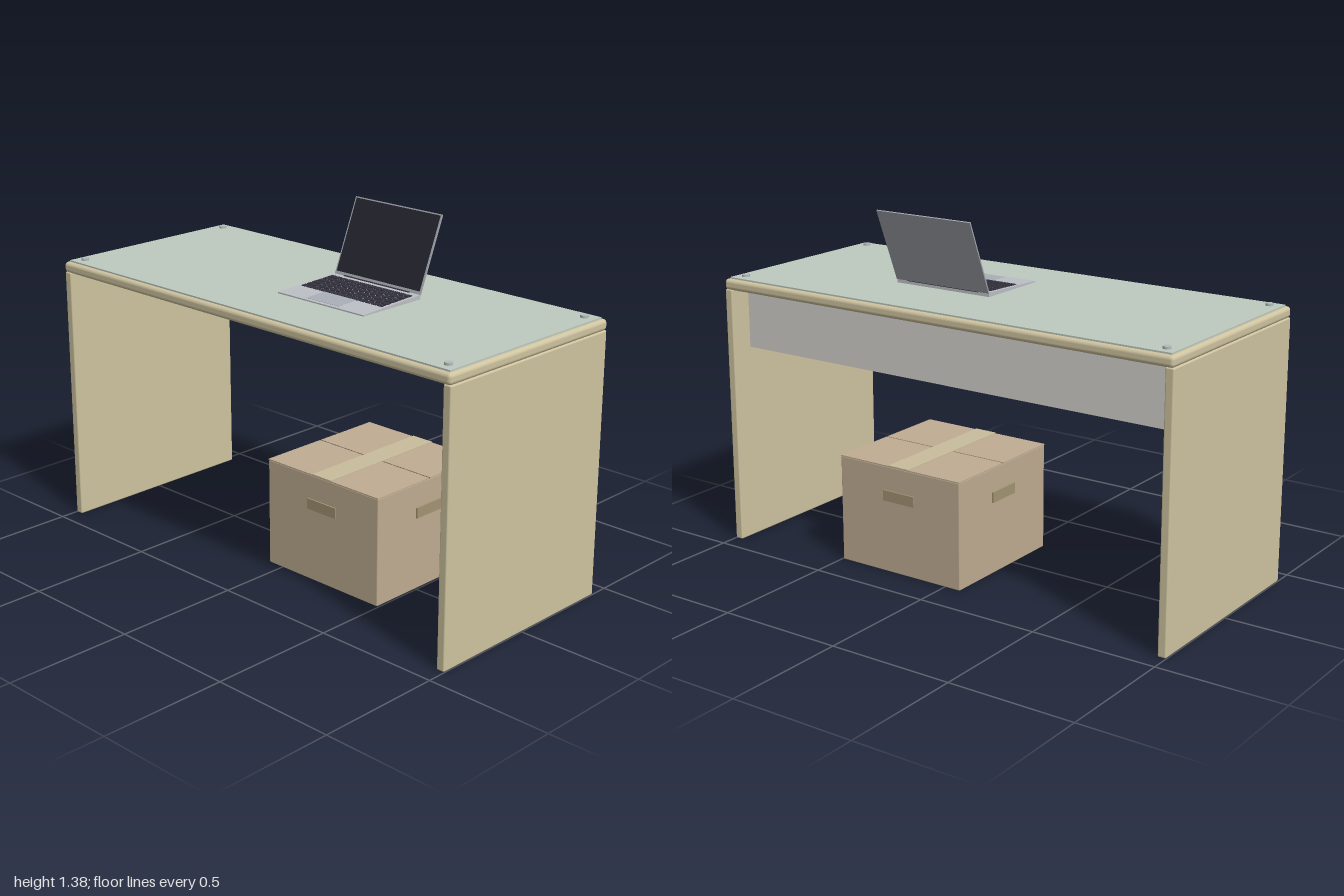
import * as THREE from 'three';
import { RoundedBoxGeometry } from 'three/addons/geometries/RoundedBoxGeometry.js';

const mat = (color) => new THREE.MeshStandardMaterial({ color });
const wood = mat(0xcfc4a0), glass = mat(0xbecbc0), panelGrey = mat(0xd6d2cc), steel = mat(0xb4bcbc);
const card = mat(0xc0ad92), tapeMat = mat(0xc9bd9c), handleMat = mat(0xa39473), slitMat = mat(0x5c4e3c);
const silver = mat(0xbcc0c5), lidGrey = mat(0xa2a6ab), keyMat = mat(0x34323e), screenMat = mat(0x252530), padMat = mat(0xaab0b6);

function add(parent, name, geometry, material, x, y, z) {
  const mesh = new THREE.Mesh(geometry, material);
  mesh.name = name;
  mesh.position.set(x, y, z);
  parent.add(mesh);
  return mesh;
}
const box = (w, h, d) => new THREE.BoxGeometry(w, h, d);
const rounded = (w, h, d, r, n = 3) => new RoundedBoxGeometry(w, h, d, n, r);

function group(parent, name, x = 0, y = 0, z = 0) {
  const g = new THREE.Group();
  g.name = name;
  g.position.set(x, y, z);
  parent.add(g);
  return g;
}

function buildDesk(root) {
  const desk = group(root, 'desk');
  add(desk, 'deskTop', rounded(2, 0.043, 0.86, 0.015), wood, 0, 1.0515, 0);
  add(desk, 'glassSheet', box(1.965, 0.007, 0.825), glass, 0, 1.0755, 0);
  add(desk, 'modestyPanel', box(1.93, 0.245, 0.02), panelGrey, 0, 0.908, -0.325);
  for (const sx of [-1, 1]) {
    add(desk, 'sideLeg', rounded(0.034, 1.032, 0.852, 0.006, 2), wood, sx * 0.983, 0.516, 0);
    for (const sz of [-1, 1]) {
      add(desk, 'glassStud', new THREE.CylinderGeometry(0.015, 0.015, 0.01, 20), steel, sx * 0.94, 1.083, sz * 0.37);
    }
  }
}

function buildCarton(root) {
  const carton = group(root, 'cardboardBox', 0.2125, 0, -0.07);
  const w = 0.565, h = 0.43, d = 0.565;
  add(carton, 'boxBody', rounded(w, h - 0.004, d, 0.004, 1), card, 0, (h - 0.004) / 2, 0);
  // two top flaps with a narrow gap between them
  add(carton, 'flapGap', box(w - 0.004, 0.003, 0.006), slitMat, 0, h - 0.0035, 0);
  for (const s of [-1, 1]) {
    add(carton, 'topFlap', box(w, 0.005, d / 2 - 0.003), card, 0, h - 0.0025, s * (d / 4 + 0.0015));
    add(carton, 'frontHandle', box(0.145, 0.042, 0.012), handleMat, 0, 0.31, s * d / 2);
    add(carton, 'sideHandle', box(0.012, 0.042, 0.145), handleMat, s * w / 2, 0.31, 0);
  }
  add(carton, 'tape', box(0.095, 0.004, d + 0.002), tapeMat, 0, h + 0.001, 0);
}

function buildLaptop(root) {
  const laptop = group(root, 'laptop', 0.17, 1.082, 0);
  const width = 0.43, depth = 0.305, backZ = -0.125;

  // wedge base: side profile extruded across the width
  const profile = new THREE.Shape([[-0.18, 0.001], [0.125, 0.001], [0.125, 0.018], [-0.18, 0.006]]
    .map(([a, b]) => new THREE.Vector2(a, b)));
  const wedge = new THREE.ExtrudeGeometry(profile, { depth: width, bevelEnabled: false });
  wedge.translate(0, 0, -width / 2).rotateY(Math.PI / 2);
  add(laptop, 'laptopBase', wedge, silver, 0, 0, 0);

  // keyboard deck follows the slope of the wedge, local z runs from hinge to front edge
  const deck = group(laptop, 'keyboardDeck', 0, 0.018, backZ);
  deck.rotation.x = Math.atan2(0.012, depth);
  add(deck, 'trackpad', box(0.16, 0.0015, 0.098), padMat, -0.003, 0.0002, 0.24);
  // relative key widths of each row, from the function row to the space bar row
  const rows = [
    Array(14).fill(1),
    [...Array(13).fill(1), 1.6],
    [1.6, ...Array(13).fill(1)],
    [1.9, ...Array(11).fill(1), 1.9],
    [2.4, ...Array(10).fill(1), 2.4],
    [1, 1, 1, 1.3, 5.2, 1.3, 1, 1, 1, 1],
  ];
  const gap = 0.005, span = 0.405;
  rows.forEach((keys, r) => {
    const unit = (span - gap * (keys.length - 1)) / keys.reduce((a, b) => a + b);
    let x = -span / 2;
    for (const k of keys) {
      add(deck, 'key', box(k * unit, 0.003, 0.023), keyMat, x + k * unit / 2, 0.001, 0.041 + r * 0.0285);
      x += k * unit + gap;
    }
  });

  // hinge and tilted lid
  const hinge = new THREE.CylinderGeometry(0.005, 0.005, 0.33, 12).rotateZ(Math.PI / 2);
  add(laptop, 'hinge', hinge, keyMat, 0, 0.016, backZ + 0.003);
  const lid = group(laptop, 'lid', 0, 0.016, backZ);
  lid.rotation.x = -0.39;
  add(lid, 'lidShell', box(width, 0.304, 0.006), lidGrey, 0, 0.152, 0);
  add(lid, 'screen', box(width - 0.012, 0.286, 0.001), screenMat, 0, 0.156, 0.0033);
}

export function createModel() {
  const model = new THREE.Group();
  model.name = 'deskWithLaptopAndBox';
  buildDesk(model);
  buildCarton(model);
  buildLaptop(model);
  return model;
}
